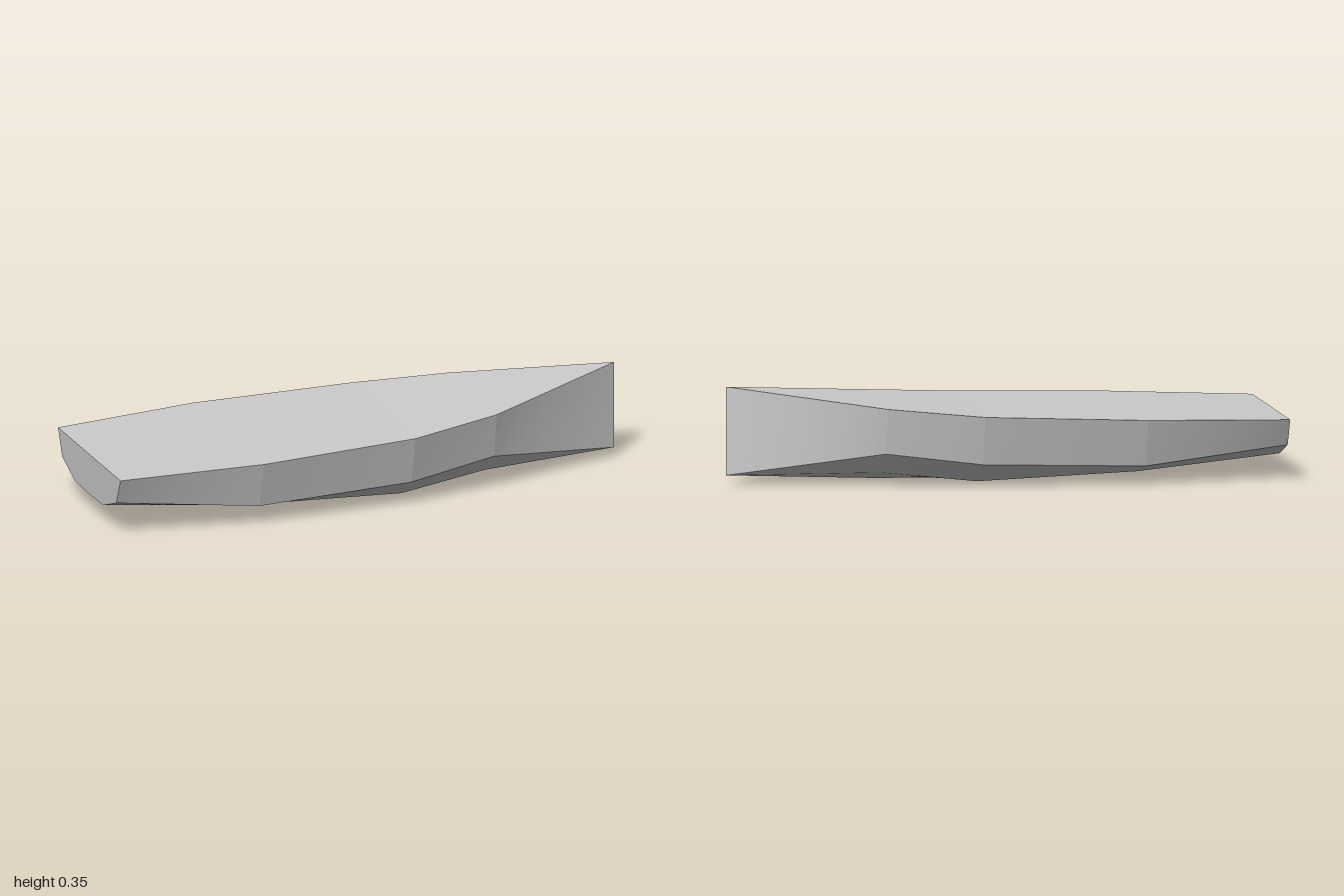
import * as THREE from 'three';

// Hull stations from transom to bow; each rail is a list of [y, half-breadth]
const stations = [-1, -0.47, 0.12, 0.46, 1];
const rails = {
  sheer: [[0.225, 0.333], [0.245, 0.384], [0.268, 0.349], [0.295, 0.262], [0.356, 0]],
  upperChine: [[0.128, 0.288], [0.072, 0.33], [0.09, 0.302], [0.128, 0.228], [0.035, 0]],
  lowerChine: [[0.078, 0.15], [0.034, 0.19], [0.015, 0.192], [0.048, 0.132], [0.035, 0]],
  keel: [[0.075, 0], [0.028, 0], [0.002, 0], [0.01, 0], [0.035, 0]],
};
const U = 16, V = 6; // facets per bay, along and across each panel

function rail(name, side) {
  return rails[name].map(([y, z], i) => new THREE.Vector3(stations[i], y, z * side));
}

function meshOf(name, triangles) {
  const pts = [];
  const t = new THREE.Triangle();
  for (const [a, b, c] of triangles) {
    if (t.set(a, b, c).getArea() > 1e-9) pts.push(a, b, c);
  }
  const geometry = new THREE.BufferGeometry().setFromPoints(pts);
  geometry.computeVertexNormals();
  const mesh = new THREE.Mesh(geometry,
    new THREE.MeshStandardMaterial({ color: 0xcccccc, flatShading: true }));
  mesh.name = name;
  return mesh;
}

// Ruled panel between two rails; it faces out when a lies above b, with x to the right
function panel(name, a, b) {
  const triangles = [];
  for (let i = 0; i < a.length - 1; i++) {
    const at = (u, v) => a[i].clone().lerp(a[i + 1], u / U)
      .lerp(b[i].clone().lerp(b[i + 1], u / U), v / V);
    for (let u = 0; u < U; u++) {
      for (let v = 0; v < V; v++) {
        const p = at(u, v), q = at(u, v + 1), r = at(u + 1, v + 1), s = at(u + 1, v);
        triangles.push([p, q, r], [p, r, s]);
      }
    }
  }
  return meshOf(name, triangles);
}

export function createModel() {
  const boat = new THREE.Group();
  boat.name = 'boatHull';

  // Side, bilge and bottom panels, mirrored about the centreline
  const strips = [
    ['sidePanel', 'sheer', 'upperChine'],
    ['bilgePanel', 'upperChine', 'lowerChine'],
    ['bottomPanel', 'lowerChine', 'keel'],
  ];
  for (const side of [1, -1]) {
    for (const [name, top, bottom] of strips) {
      const a = rail(top, side), b = rail(bottom, side);
      const label = (side > 0 ? 'left' : 'right') + name[0].toUpperCase() + name.slice(1);
      boat.add(side > 0 ? panel(label, a, b) : panel(label, b, a));
    }
  }

  // Closed deck
  boat.add(panel('deck', rail('sheer', -1), rail('sheer', 1)));

  // Flat transom, a fan from the keel
  const names = ['lowerChine', 'upperChine', 'sheer'];
  const loop = [
    ...names.map((n) => rail(n, 1)[0]),
    ...names.reverse().map((n) => rail(n, -1)[0]),
  ];
  const keel = rail('keel', 1)[0];
  boat.add(meshOf('transom', loop.slice(1).map((p, i) => [keel, loop[i], p])));

  return boat;
}
